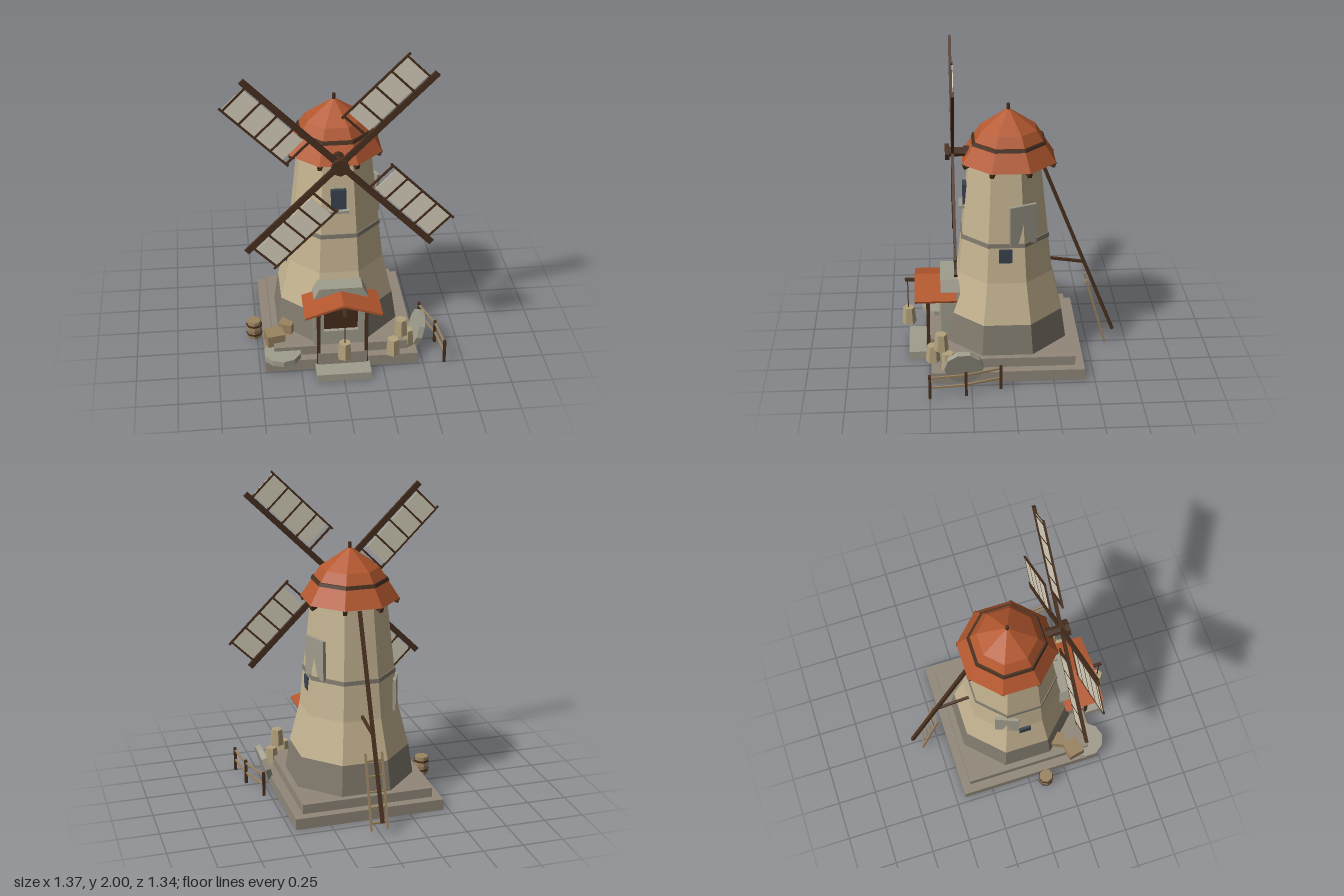
import * as THREE from 'three';

const mat = (color, extra = {}) => new THREE.MeshStandardMaterial({ color, flatShading: true, ...extra });
const M = {
  plaster: mat(0xc6b592), base: mat(0x91887a), footing: mat(0x827b6e), stone: mat(0xa09d8d),
  tile: mat(0xb4582f), wood: mat(0x49301f), door: mat(0x452c1c), tan: mat(0x9a8360), sack: mat(0xb3a27c),
  glass: mat(0x3a4450), cloth: mat(0xd8d1bd, { side: THREE.DoubleSide }),
};
const TZ = 0.025; // tower centre in z
const K = Math.cos(Math.PI / 8);

function add(parent, name, geo, material, x = 0, y = 0, z = 0) {
  const m = new THREE.Mesh(geo, material);
  m.name = name;
  m.position.set(x, y, z);
  parent.add(m);
  return m;
}
const box = (p, name, m, w, h, d, x, y, z) => add(p, name, new THREE.BoxGeometry(w, h, d), m, x, y, z);
const cyl = (p, name, m, rt, rb, h, n, x, y, z) => add(p, name, new THREE.CylinderGeometry(rt, rb, h, n), m, x, y, z);

// octagonal section with flats on the axes; radii are to the flats
function octagon(p, name, m, y0, y1, r0, r1, z) {
  const o = cyl(p, name, m, r1 / K, r0 / K, y1 - y0, 8, 0, (y0 + y1) / 2, z);
  o.rotation.y = Math.PI / 8;
  return o;
}

// square bar between two points
function bar(p, name, m, a, b, t) {
  const A = new THREE.Vector3(...a), B = new THREE.Vector3(...b);
  const o = add(p, name, new THREE.BoxGeometry(t, t, A.distanceTo(B)), m);
  o.position.copy(A).add(B).multiplyScalar(0.5);
  o.lookAt(B);
  return o;
}

function group(parent, name) {
  const g = new THREE.Group();
  g.name = name;
  parent.add(g);
  return g;
}

function buildTower(root) {
  const g = group(root, 'tower');
  box(g, 'lowerPlinth', M.base, 0.932, 0.07, 0.93, 0, 0.035, TZ);
  box(g, 'upperPlinth', M.base, 0.82, 0.06, 0.82, 0, 0.1, TZ);
  octagon(g, 'footing', M.footing, 0.13, 0.32, 0.372, 0.345, TZ);
  octagon(g, 'flaredWall', M.plaster, 0.32, 0.575, 0.345, 0.285, TZ);
  octagon(g, 'upperWall', M.plaster, 0.575, 1.29, 0.285, 0.212, TZ);
  octagon(g, 'stoneBand', M.footing, 0.8, 0.826, 0.268, 0.266, TZ);
  // windows
  box(g, 'frontWindow', M.glass, 0.09, 0.13, 0.03, 0, 1.055, 0.264);
  box(g, 'frontSill', M.stone, 0.125, 0.016, 0.05, 0, 0.984, 0.278);
  box(g, 'leftWindow', M.glass, 0.03, 0.115, 0.08, 0.257, 0.732, 0.03);
  box(g, 'rightWindow', M.glass, 0.03, 0.11, 0.075, -0.286, 0.515, TZ);
  // bare stone patches lying across two wall corners
  for (const [a, y, h, w, r] of [[-22.5, 0.938, 0.25, 0.175, 0.258], [202.5, 0.67, 0.2, 0.15, 0.287]]) {
    const t = -a * Math.PI / 180;
    const o = box(g, 'wallPatch', M.stone, 0.02, h, w, Math.cos(t) * r, y, TZ - Math.sin(t) * r);
    o.rotation.y = t;
    if (a < 0) {
      o.position.z = TZ - Math.sin(t) * r;
    }
  }
}

function buildCap(root) {
  const g = group(root, 'cap');
  octagon(g, 'lowerRoof', M.tile, 1.28, 1.47, 0.278, 0.165, 0);
  octagon(g, 'upperRoof', M.tile, 1.47, 1.585, 0.165, 0.012, 0);
  octagon(g, 'roofBand', M.wood, 1.388, 1.408, 0.22, 0.212, 0);
  cyl(g, 'finial', M.wood, 0.011, 0.011, 0.07, 6, 0, 1.585, 0);
  for (let i = 0; i < 8; i++) {
    const a = (i + 0.5) * Math.PI / 4;
    const o = box(g, 'eaveBracket', M.wood, 0.024, 0.03, 0.06, Math.sin(a) * 0.268, 1.275, Math.cos(a) * 0.268);
    o.rotation.set(0.35, a, 0, 'YXZ');
  }
}

function buildSails(root) {
  const g = group(root, 'sails');
  g.position.set(0, 1.32, 0.335);
  const disc = (name, r, z0, z1) => {
    cyl(g, name, M.wood, r, r, z1 - z0, 8, 0, 0, (z0 + z1) / 2).rotation.x = Math.PI / 2;
  };
  disc('windshaft', 0.03, -0.2, 0.03);
  disc('collar', 0.038, -0.1, -0.065);
  disc('hub', 0.053, 0.018, 0.045);
  for (let i = 0; i < 4; i++) {
    const s = group(g, 'sail');
    s.rotation.z = Math.PI / 4 + i * Math.PI / 2;
    box(s, 'sailArm', M.wood, 0.78, 0.036, 0.018, 0.39, 0, 0);
    box(s, 'outerRail', M.wood, 0.54, 0.012, 0.012, 0.488, 0.203, 0);
    box(s, 'sailCloth', M.cloth, 0.475, 0.175, 0.005, 0.505, 0.117, -0.003);
    for (let k = 0; k < 5; k++) box(s, 'crossbar', M.wood, 0.012, 0.2, 0.012, 0.235 + k * 0.125, 0.103, 0);
  }
}

function buildTail(root) {
  const g = group(root, 'tailPole');
  bar(g, 'pole', M.wood, [0, 1.25, -0.2], [0, 0.087, -0.663], 0.021);
  bar(g, 'strut', M.wood, [0, 0.605, -0.22], [0, 0.568, -0.47], 0.016);
  const l = group(root, 'ladder');
  const at = (x, t) => [x, 0.46 - 0.445 * t, -0.483 - 0.128 * t];
  for (const x of [-0.051, 0.051]) bar(l, 'ladderRail', M.tan, at(x, 0), at(x, 1), 0.012);
  for (let k = 0; k < 5; k++) bar(l, 'rung', M.tan, at(-0.051, 0.1 + k * 0.2), at(0.051, 0.1 + k * 0.2), 0.01);
}

function buildPorch(root) {
  const g = group(root, 'porch');
  // stone surround with chamfered top and a door opening
  const s = new THREE.Shape([[-0.165, 0.1], [0.165, 0.1], [0.165, 0.46], [0.13, 0.53], [-0.13, 0.53], [-0.165, 0.46]]
    .map(p => new THREE.Vector2(...p)));
  s.holes.push(new THREE.Path([[-0.105, 0.225], [-0.105, 0.44], [0.105, 0.44], [0.105, 0.225]]
    .map(p => new THREE.Vector2(...p))));
  add(g, 'doorSurround', new THREE.ExtrudeGeometry(s, { depth: 0.12, bevelEnabled: false }), M.stone, 0, 0, 0.305);
  box(g, 'door', M.door, 0.21, 0.22, 0.03, 0, 0.335, 0.385);
  box(g, 'doorBrace', M.wood, 0.2, 0.014, 0.012, 0, 0.39, 0.405);
  box(g, 'frontStep', M.stone, 0.33, 0.05, 0.12, 0, 0.025, 0.568);
  box(g, 'upperStep', M.base, 0.3, 0.08, 0.12, 0, 0.09, 0.46);
  for (const e of [-1, 1]) {
    box(g, 'porchPost', M.wood, 0.02, 0.4, 0.02, e * 0.145, 0.245, 0.505);
    bar(g, 'eaveBeam', M.wood, [e * 0.145, 0.44, 0.35], [e * 0.145, 0.44, 0.57], 0.016);
    const slope = Math.atan2(0.075, 0.23);
    const r = box(g, 'porchRoof', M.tile, 0.244, 0.014, 0.255, e * 0.115, 0.467, 0.455);
    r.rotation.z = -e * slope;
  }
  box(g, 'tieBeam', M.wood, 0.31, 0.016, 0.018, 0, 0.432, 0.505);
  // hoist beam, rope and hanging sack
  box(g, 'hoistBeam', M.wood, 0.018, 0.018, 0.3, 0, 0.472, 0.495);
  box(g, 'rope', M.wood, 0.006, 0.2, 0.006, 0, 0.37, 0.628);
  sack(g, 0, 0.175, 0.625);
}

function sack(p, x, y, z) {
  cyl(p, 'sack', M.sack, 0.036, 0.045, 0.105, 6, x, y + 0.0525, z);
}

function buildYard(root) {
  const g = group(root, 'yard');
  for (const p of [[0.314, 0.075, 0.479], [0.413, 0.075, 0.388], [0.366, 0.18, 0.428]]) sack(g, ...p);
  // millstones: one leaning on the plinth, one lying flat
  const lean = cyl(g, 'leaningMillstone', M.stone, 0.118, 0.118, 0.035, 10, 0.487, 0.122, 0.295);
  lean.rotation.z = Math.PI / 2 - 0.28;
  cyl(g, 'flatMillstone', M.stone, 0.115, 0.115, 0.035, 10, -0.36, 0.088, 0.435);
  // crates
  box(g, 'crate', M.tan, 0.11, 0.075, 0.105, -0.4, 0.142, 0.33).rotation.y = 0.2;
  box(g, 'crate', M.tan, 0.085, 0.065, 0.085, -0.318, 0.163, 0.25).rotation.y = -0.4;
  // barrel
  const b = group(g, 'barrel');
  b.position.set(-0.516, 0, 0.105);
  const profile = [[0, 0], [0.043, 0], [0.05, 0.06], [0.043, 0.12], [0, 0.12]].map(p => new THREE.Vector2(...p));
  add(b, 'barrelBody', new THREE.LatheGeometry(profile, 8), M.tan);
  for (const y of [0.03, 0.092]) cyl(b, 'barrelHoop', M.wood, 0.05, 0.05, 0.012, 8, 0, y, 0);
  // fence
  const f = group(g, 'fence');
  const posts = [[0.54, 0.075], [0.607, 0.285], [0.63, 0.5]];
  posts.forEach(([x, z], i) => {
    box(f, 'fencePost', M.wood, 0.017, 0.157, 0.017, x, 0.078, z);
    if (i) for (const y of [0.072, 0.138]) bar(f, 'fenceRail', M.tan, [posts[i - 1][0], y, posts[i - 1][1]], [x, y, z], 0.011);
  });
}

export function createModel() {
  const root = new THREE.Group();
  root.name = 'windmill';
  [buildTower, buildCap, buildSails, buildTail, buildPorch, buildYard].forEach(build => build(root));
  return root;
}
